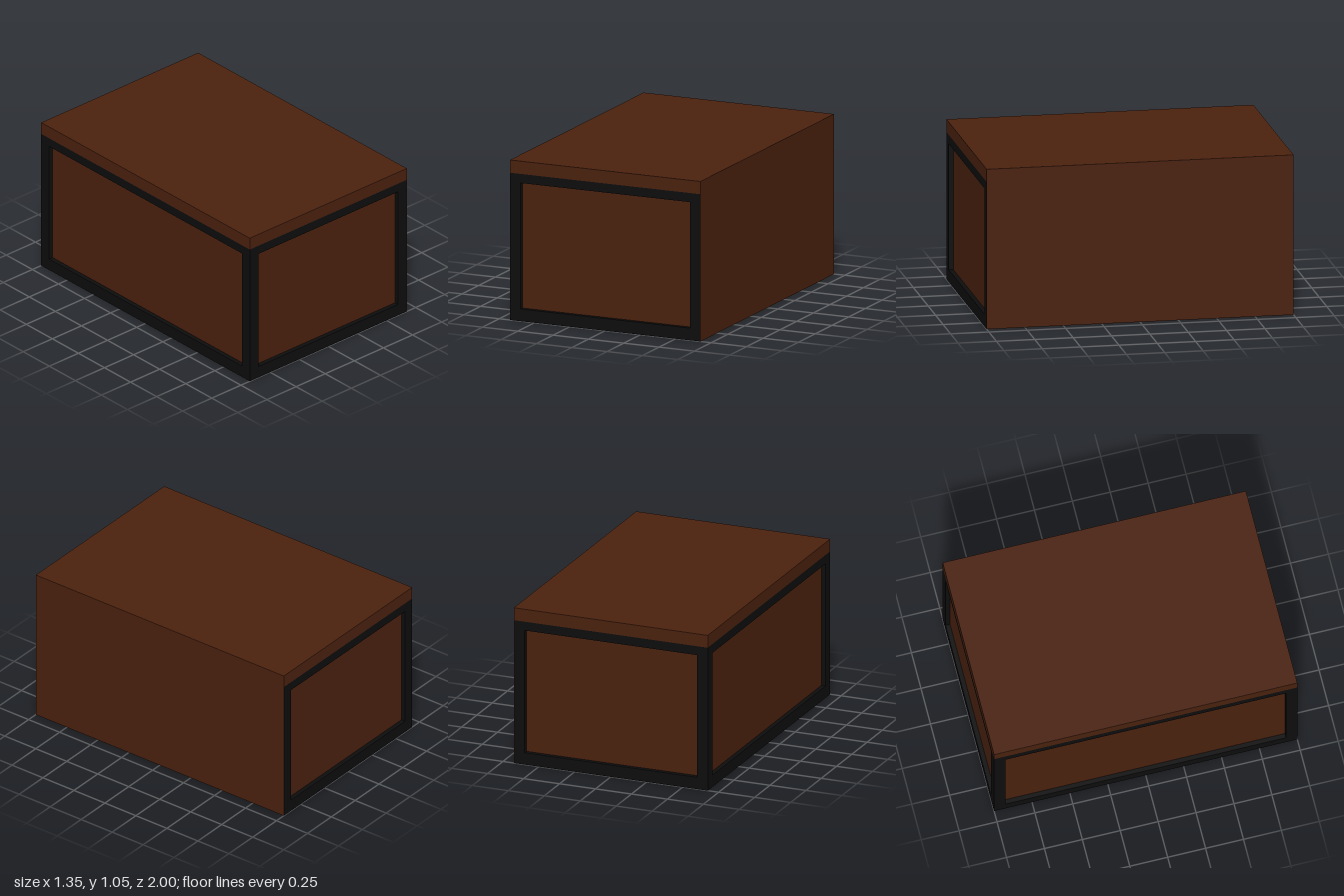
import * as THREE from 'three';

export function createModel() {
  const wood = new THREE.MeshStandardMaterial({ color: 0x4a210e });
  wood.name = 'dark brown wood';
  const black = new THREE.MeshStandardMaterial({ color: 0x0d0d0d });
  black.name = 'black frame';

  const model = new THREE.Group();
  model.name = 'cabinet';

  // Box given by its minimum and maximum corners
  function box(name, material, min, max, parent = model) {
    const size = max.map((v, i) => v - min[i]);
    const mesh = new THREE.Mesh(new THREE.BoxGeometry(...size), material);
    mesh.position.set(...min.map((v, i) => (v + max[i]) / 2));
    mesh.name = name;
    parent.add(mesh);
  }

  const X = 0.674, Z = 1, H = 1.054;   // outer half width, half depth, height
  const bar = 0.075;                   // post width
  const sill = 0.08, rail = 0.91, lid = 0.97;
  const recess = 0.03;                 // panel inset behind the frame
  const side = X - 0.004;              // inner face of the closed side

  // Solid top and the plain sheet covering the left side
  box('topBoard', wood, [-X, lid, -Z], [X, H, Z]);
  box('sidePanel', wood, [side, 0, -Z], [X, lid, Z]);

  // Black base, corner posts and upper rails
  const frame = new THREE.Group();
  frame.name = 'frame';
  model.add(frame);
  box('base', black, [-X, 0, -Z], [side, sill, Z], frame);
  for (const s of [-1, 1]) {
    const z0 = s < 0 ? -Z : Z - bar, z1 = z0 + bar;
    box('rightPost', black, [-X, sill, z0], [-X + bar, lid, z1], frame);
    box('leftPost', black, [X - bar, sill, z0], [side, lid, z1], frame);
    box('endRail', black, [-X + bar, rail, z0], [X - bar, lid, z1], frame);
  }
  box('sideRail', black, [-X, rail, -Z + bar], [-X + bar, lid, Z - bar], frame);

  // Recessed panels on the front, back and right side
  const t = 0.03;
  box('frontPanel', wood, [-X + bar, sill, Z - recess - t], [X - bar, rail, Z - recess]);
  box('backPanel', wood, [-X + bar, sill, -Z + recess], [X - bar, rail, -Z + recess + t]);
  box('rightPanel', wood, [-X + recess, sill, -Z + bar], [-X + recess + t, rail, Z - bar]);

  return model;
}
